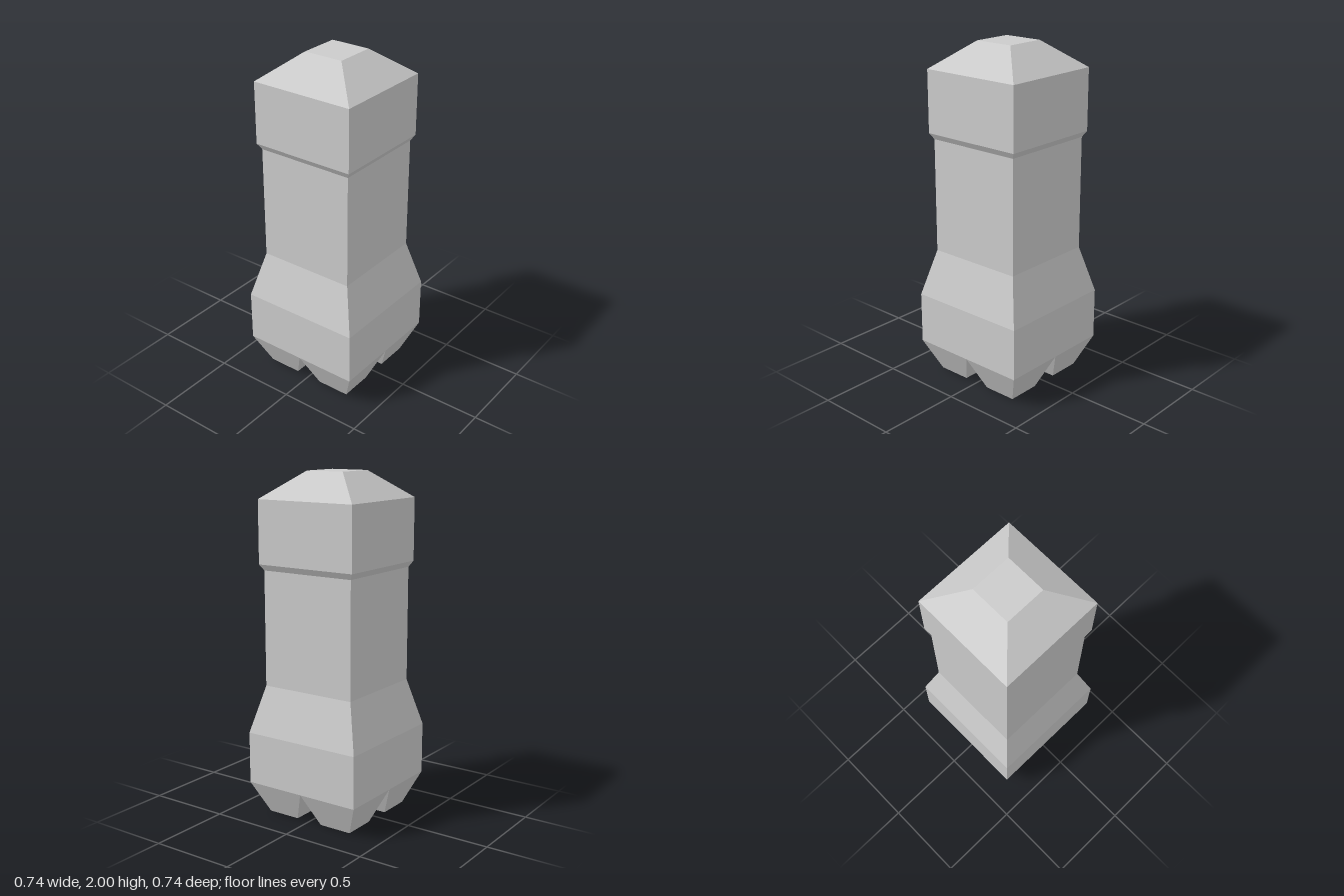
import * as THREE from 'three';

const material = new THREE.MeshStandardMaterial({ color: 0xcccccc, flatShading: true });

// Square tower from [half width, height] pairs, listed bottom to top
function squareTower(name, profile) {
  const points = profile.map(([half, y]) => new THREE.Vector2(half * Math.SQRT2, y));
  const geometry = new THREE.LatheGeometry(points, 4, Math.PI / 4).toNonIndexed();
  geometry.computeVertexNormals();
  const mesh = new THREE.Mesh(geometry, material);
  mesh.name = name;
  return mesh;
}

export function createModel() {
  const group = new THREE.Group();
  group.name = 'squarePost';

  const baseHalf = 0.368;
  const footTop = 0.19;

  // Flared base and straight shaft
  group.add(squareTower('shaft', [
    [baseHalf, footTop], [baseHalf, 0.495], [0.295, 0.775], [0.295, 1.447],
  ]));

  // Overhanging head with a truncated pyramid top
  group.add(squareTower('head', [
    [0.295, 1.447], [0.316, 1.482], [0.316, 1.846], [0.121, 2], [0, 2],
  ]));

  // Four tapered feet meeting under the base
  const footHalf = baseHalf / 2;
  for (const [side, sx] of [['Left', 1], ['Right', -1]]) {
    for (const [end, sz] of [['front', 1], ['back', -1]]) {
      const foot = squareTower(`${end}${side}Foot`, [[0, 0], [0.1, 0], [footHalf, footTop]]);
      foot.position.set(sx * footHalf, 0, sz * footHalf);
      group.add(foot);
    }
  }

  return group;
}
